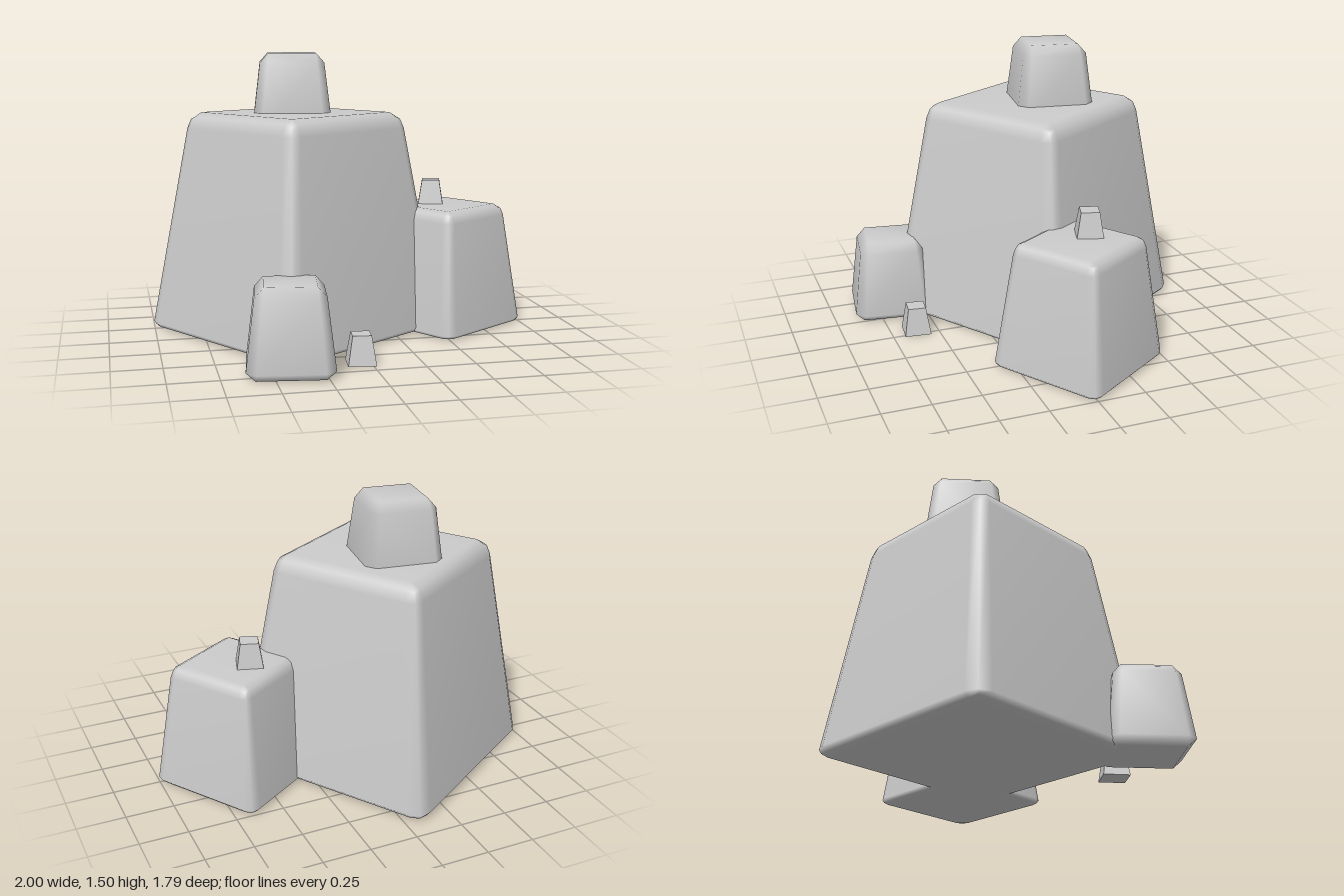
import * as THREE from 'three';
import { RoundedBoxGeometry } from 'three/addons/geometries/RoundedBoxGeometry.js';
import { ConvexGeometry } from 'three/addons/geometries/ConvexGeometry.js';
import { mergeVertices } from 'three/addons/utils/BufferGeometryUtils.js';

const rad = THREE.MathUtils.degToRad;
const smooth = new THREE.MeshStandardMaterial({ color: 0xcccccc });
const faceted = new THREE.MeshStandardMaterial({ color: 0xcccccc, flatShading: true });

// Box with every edge cut off once
function chamferedBox(width, height, cut) {
  const w = width / 2, h = height / 2, points = [];
  for (const sx of [-1, 1]) for (const sy of [-1, 1]) for (const sz of [-1, 1]) {
    points.push(
      new THREE.Vector3(sx * w, sy * (h - cut), sz * (w - cut)),
      new THREE.Vector3(sx * (w - cut), sy * h, sz * (w - cut)),
      new THREE.Vector3(sx * (w - cut), sy * (h - cut), sz * w),
    );
  }
  return new ConvexGeometry(points);
}

// Stands a box on y = 0, narrows it upward and flattens the bevel at its foot
function boulder(box, height, bevel, taper, foot) {
  box.deleteAttribute('normal');
  box.deleteAttribute('uv');
  const geo = mergeVertices(box);
  geo.translate(0, height / 2, 0);
  const p = geo.attributes.position;
  for (let i = 0; i < p.count; i++) {
    const y = p.getY(i) < bevel + 1e-4 ? p.getY(i) * foot : p.getY(i);
    const s = 1 - (1 - taper) * y / height;
    p.setXYZ(i, p.getX(i) * s, y, p.getZ(i) * s);
  }
  geo.computeVertexNormals();
  return geo;
}

export function createModel() {
  const group = new THREE.Group();
  const add = (name, geo, mat, yaw, x, y, z) => {
    const mesh = new THREE.Mesh(geo, mat);
    mesh.name = name;
    mesh.position.set(x, y, z);
    mesh.rotation.y = rad(yaw);
    group.add(mesh);
  };

  // Large central rock
  const main = boulder(new RoundedBoxGeometry(1.168, 1.18, 1.168, 1, 0.085), 1.18, 0.085, 0.715, 0.4);
  add('mainRock', main, smooth, 33, -0.235, 0, -0.13);

  // Medium rock at the left
  const side = boulder(new RoundedBoxGeometry(0.65, 0.665, 0.65, 1, 0.06), 0.665, 0.06, 0.75, 0.4);
  add('sideRock', side, smooth, 33, 0.578, 0, -0.075);

  // Two equal small rocks: one on the ground, one sunk into the summit
  const small = boulder(chamferedBox(0.434, 0.435, 0.05), 0.435, 0.05, 0.76, 0.8);
  add('frontRock', small, smooth, -8, -0.405, 0, 0.66);
  add('topRock', small, smooth, -8, -0.24, 1.06, -0.225);

  // Sharp-edged pebbles
  const pebble = new THREE.CylinderGeometry(0.047 * Math.SQRT2, 0.07 * Math.SQRT2, 0.147, 4);
  pebble.rotateY(Math.PI / 4);
  pebble.translate(0, 0.0735, 0);
  add('groundPebble', pebble, faceted, -6, -0.047, 0, 0.612);
  add('ledgePebble', pebble, faceted, -17, 0.528, 0.648, -0.143);

  return group;
}
